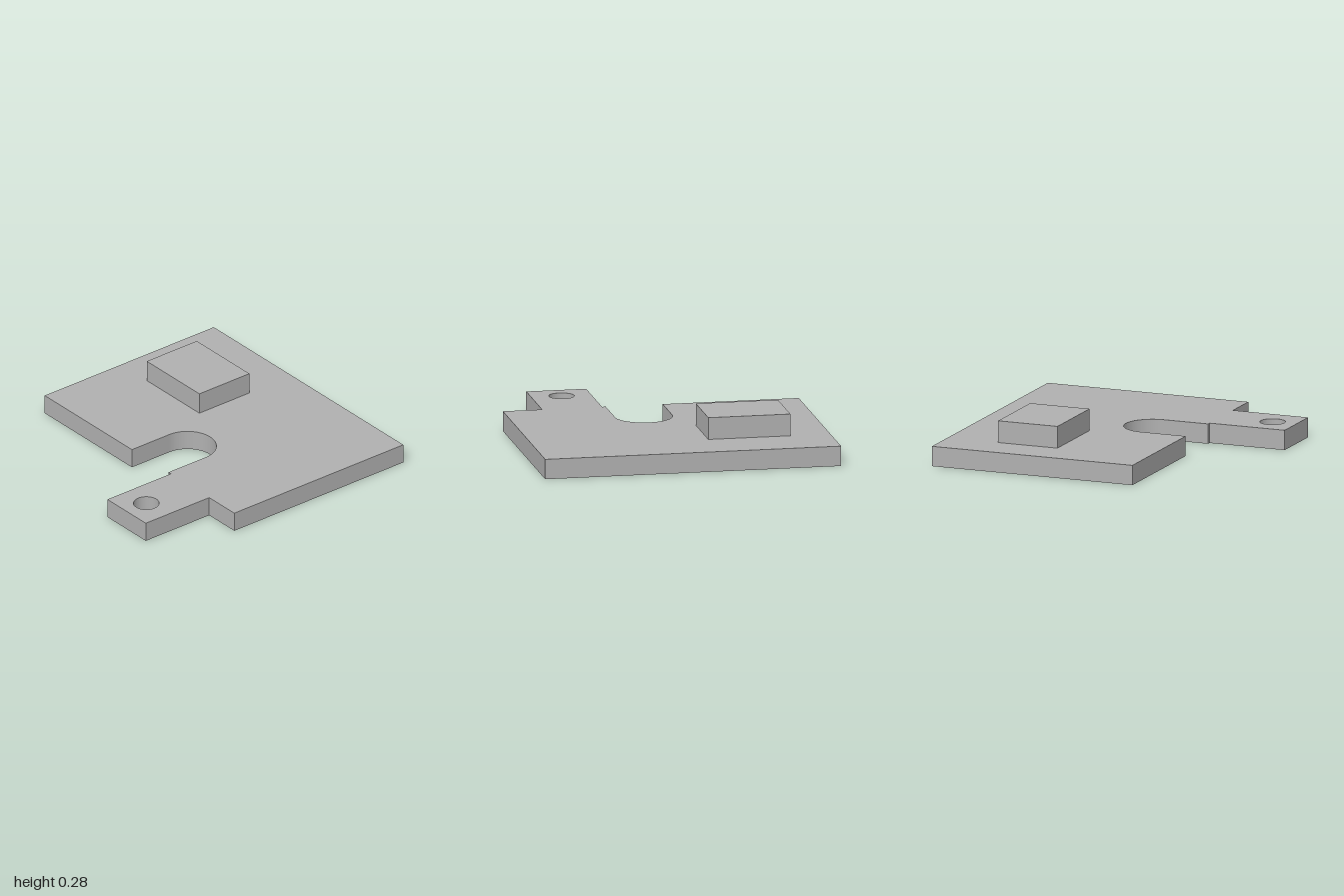
import * as THREE from 'three';

const THICKNESS = 0.135;

export function createModel() {
  const group = new THREE.Group();
  group.name = 'mountingPlate';

  const grey = new THREE.MeshStandardMaterial({ color: 0xb0b0b0 });
  grey.name = 'plain grey';

  // Plate outline, drawn as (x, -z), with a round-ended slot and a side tab
  const slotX = -0.133, slotY = -0.1125, slotR = 0.1925;
  const outline = new THREE.Shape();
  outline.moveTo(-0.45, -1);
  outline.lineTo(0.99, -1);
  outline.lineTo(0.99, 1);
  outline.lineTo(-0.45, 1);
  outline.lineTo(-0.45, slotY + slotR);
  outline.lineTo(slotX, slotY + slotR);
  outline.absarc(slotX, slotY, slotR, Math.PI / 2, -Math.PI / 2, true);
  outline.lineTo(-0.45, slotY - slotR);
  outline.lineTo(-0.45, -0.33);
  outline.lineTo(-0.99, -0.33);
  outline.lineTo(-0.99, -0.735);
  outline.lineTo(-0.45, -0.735);
  outline.closePath();

  // Round hole through the tab
  const hole = new THREE.Path();
  hole.absarc(-0.82, -0.53, 0.085, 0, Math.PI * 2, true);
  outline.holes.push(hole);

  const plateGeometry = new THREE.ExtrudeGeometry(outline, {
    depth: THICKNESS, bevelEnabled: false, curveSegments: 48,
  });
  plateGeometry.rotateX(-Math.PI / 2);
  const plate = new THREE.Mesh(plateGeometry, grey);
  plate.name = 'slottedPlate';
  group.add(plate);

  // Raised block on top of the plate
  const block = new THREE.Mesh(new THREE.BoxGeometry(0.426, 0.148, 0.555), grey);
  block.name = 'raisedBlock';
  block.position.set(0.414, THICKNESS + 0.074, -0.452);
  group.add(block);

  return group;
}
